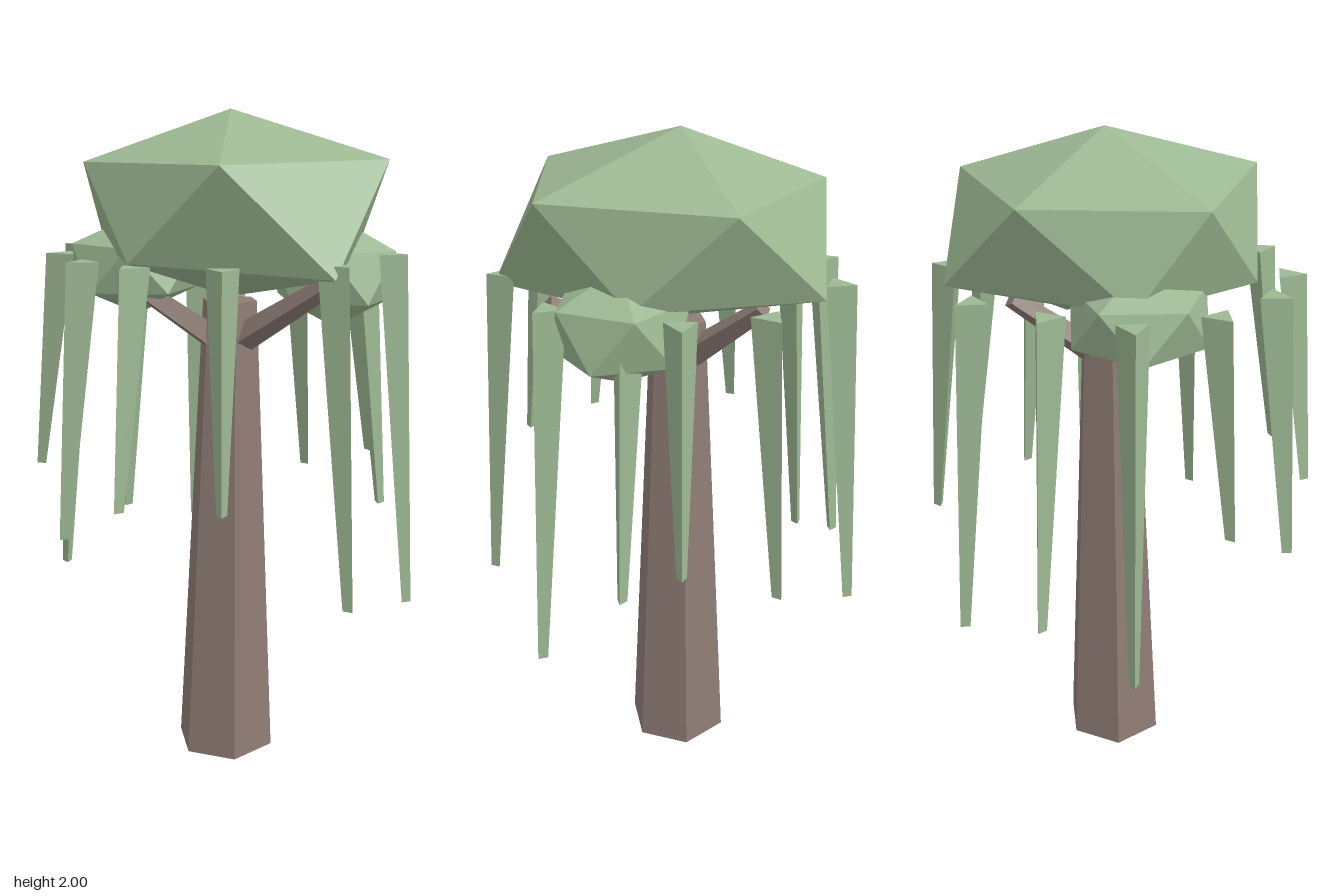
import * as THREE from 'three';
import { ConvexGeometry } from 'three/addons/geometries/ConvexGeometry.js';

const bark = new THREE.MeshStandardMaterial({ color: 0x8f7d75, flatShading: true });
const leaf = new THREE.MeshStandardMaterial({ color: 0x9db893, flatShading: true });
const V = (x, y, z) => new THREE.Vector3(x, y, z);

function add(parent, name, geometry, material) {
  const mesh = new THREE.Mesh(geometry, material);
  mesh.name = name;
  parent.add(mesh);
  return mesh;
}

// Tapered limb between two points
function limb(a, b, rA, rB, sides) {
  const dir = b.clone().sub(a);
  const g = new THREE.CylinderGeometry(rB, rA, dir.length(), sides);
  g.applyQuaternion(new THREE.Quaternion().setFromUnitVectors(V(0, 1, 0), dir.normalize()));
  return g.translate((a.x + b.x) / 2, (a.y + b.y) / 2, (a.z + b.z) / 2);
}

// Squashed twenty-sided leaf clump, one upper corner at the given angle
function clump(c, r, h, angle) {
  const pts = [V(c.x, c.y + h, c.z), V(c.x, c.y - h, c.z)];
  for (let i = 0; i < 10; i++) {
    const t = angle + (i * Math.PI) / 5;
    const side = i % 2 ? -1 : 1;
    pts.push(V(c.x + Math.cos(t) * r * 0.9, c.y + side * h * 0.45, c.z + Math.sin(t) * r * 0.9));
  }
  return new ConvexGeometry(pts);
}

// Three-sided hanging frond, leaning outward toward its level tip
function frond(x, z, tipY) {
  const topY = 1.6, len = topY - tipY, angle = Math.atan2(x, z);
  const g = new THREE.CylinderGeometry(0.051, 0.017, len, 3);
  g.translate(0, tipY + len / 2, 0);
  const p = g.attributes.position;
  const r = Math.hypot(x, z);
  for (let i = 0; i < p.count; i++) {
    p.setZ(i, p.getZ(i) + r - 0.085 * (p.getY(i) - tipY) / len);
  }
  g.rotateY(angle);
  g.computeVertexNormals();
  return g;
}

export function createModel() {
  const tree = new THREE.Group();
  tree.name = 'tree';

  // Trunk
  const trunk = limb(V(0, 0, 0), V(0, 1.45, 0), 0.157, 0.085, 6);
  trunk.rotateY(Math.PI / 6 + 0.06);
  const p = trunk.attributes.position;
  for (let i = 0; i < p.count; i++) {
    const t = p.getY(i) / 1.45;
    p.setX(i, p.getX(i) - 0.008 + 0.01 * t);
    p.setZ(i, p.getZ(i) - 0.01 - 0.012 * t);
  }
  add(tree, 'trunk', trunk, bark);

  // Branches
  const branches = new THREE.Group();
  branches.name = 'branches';
  tree.add(branches);
  for (const tip of [V(-0.26, 1.54, 0.19), V(0.37, 1.54, 0.09), V(-0.08, 1.54, -0.3)]) {
    const start = V(tip.x * 0.1, 1.33, tip.z * 0.1 - 0.01);
    add(branches, 'branch', limb(start, tip, 0.045, 0.028, 4), bark);
  }

  // Main crown: apex, upper ring, lower ring, underside
  const crown = [
    V(0, 2, -0.033),
    V(0.475, 1.865, -0.035), V(0.135, 1.86, -0.44), V(-0.32, 1.86, -0.27),
    V(-0.345, 1.855, 0.225), V(0.15, 1.86, 0.41),
    V(0.33, 1.6, -0.25), V(-0.14, 1.6, -0.48), V(-0.385, 1.6, 0.03),
    V(-0.13, 1.595, 0.385), V(0.425, 1.565, 0.28),
    V(0, 1.46, -0.02),
  ];
  add(tree, 'crown', new ConvexGeometry(crown), leaf);

  // Side clumps
  add(tree, 'sideClumpRight', clump(V(-0.27, 1.55, 0.05), 0.215, 0.148, 0), leaf);
  add(tree, 'sideClumpLeft', clump(V(0.29, 1.53, -0.145), 0.21, 0.163, 0.1), leaf);

  // Fronds: tip x, tip z, tip height
  const fronds = new THREE.Group();
  fronds.name = 'fronds';
  tree.add(fronds);
  const tips = [
    [0.067, -0.565, 0.8], [0.325, -0.46, 0.905], [0.41, -0.295, 0.78],
    [0.557, -0.093, 0.54], [0.487, 0.283, 0.645], [0.2, 0.515, 0.96],
    [-0.083, 0.565, 0.95], [-0.295, 0.488, 0.82], [-0.475, 0.295, 0.975],
    [-0.562, 0.027, 0.55], [-0.468, -0.235, 0.68], [-0.317, -0.465, 0.6],
  ];
  for (const [x, z, y] of tips) add(fronds, 'frond', frond(x, z, y), leaf);

  return tree;
}
